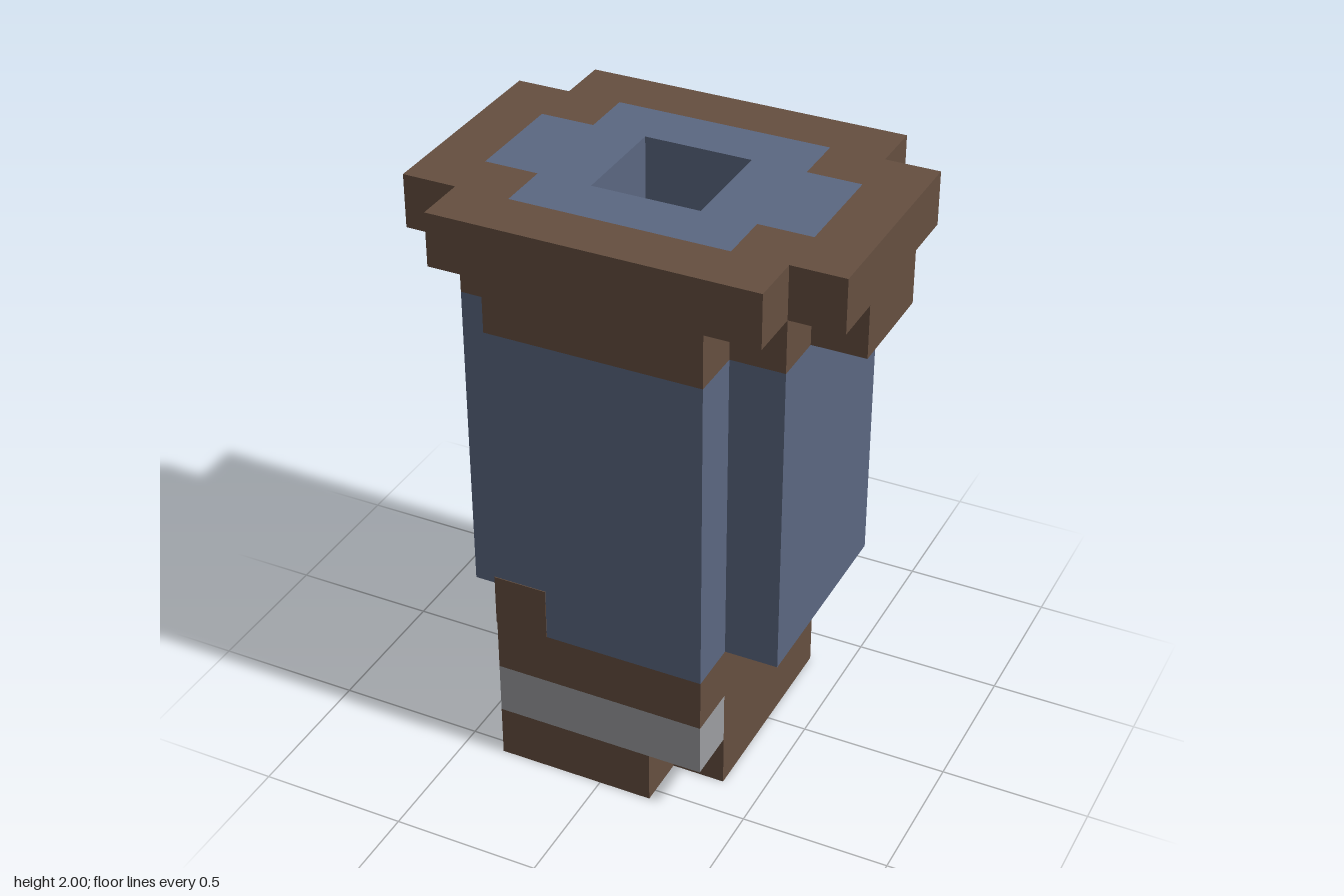
import * as THREE from 'three';

const U = 2 / 11; // one block of the grid

export function createModel() {
  const model = new THREE.Group();
  model.name = 'blockSleeve';
  const mat = (name, color) => {
    const m = new THREE.MeshStandardMaterial({ color });
    m.name = name;
    return m;
  };
  const brown = mat('brown', 0x654f40);
  const blue = mat('blue', 0x5b6781);
  const grey = mat('grey', 0x9c9da0);

  const add = (name, geometry, material) => {
    const mesh = new THREE.Mesh(geometry, material);
    mesh.name = name;
    model.add(mesh);
  };
  // Box given by its limits in blocks
  const box = (name, material, [x0, x1], [y0, y1], [z0, z1]) => {
    const g = new THREE.BoxGeometry((x1 - x0) * U, (y1 - y0) * U, (z1 - z0) * U);
    g.translate((x0 + x1) / 2 * U, (y0 + y1) / 2 * U, (z0 + z1) / 2 * U);
    add(name, g, material);
  };
  // Cross outline: a rectangle a x b joined with a rectangle c x d (half sizes, a > c, d > b)
  const cross = (a, b, c, d) => [
    [a, -b], [a, b], [c, b], [c, d], [-c, d], [-c, b],
    [-a, b], [-a, -b], [-c, -b], [-c, -d], [c, -d], [c, -b],
  ].map(([x, z]) => new THREE.Vector2(x * U, z * U));
  const square = (r) => [[-r, -r], [r, -r], [r, r], [-r, r]]
    .map(([x, z]) => new THREE.Vector2(x * U, z * U));
  // Upright prism with a hole through it
  const prism = (name, material, outline, hole, y0, y1) => {
    const shape = new THREE.Shape(outline);
    shape.holes.push(new THREE.Path(hole));
    const g = new THREE.ExtrudeGeometry(shape, { depth: (y1 - y0) * U, bevelEnabled: false });
    g.rotateX(-Math.PI / 2).translate(0, y0 * U, 0);
    add(name, g, material);
  };

  // Hollow blue body and its upper lining
  const inlay = cross(3, 1, 2, 2);
  prism('body', blue, cross(3, 2, 2, 3), square(1), 3, 9);
  prism('neckLining', blue, square(2), square(1), 9, 10);
  prism('topInlay', blue, inlay, square(1), 10, 11);

  // Brown rim, collar and side tabs
  prism('rim', brown, cross(4, 2, 3, 3), inlay, 10, 11);
  for (const s of [-1, 1]) {
    const span = (a, b) => (s > 0 ? [a, b] : [-b, -a]);
    box('collarSide', brown, span(2, 3), [9, 10], [-2, 2]);
    box('collarEnd', brown, [-2, 2], [9, 10], span(2, 3));
    box('sideTab', brown, span(3, 4), [9, 10], [-1, 1]);
  }

  // Base, with a notch at the front left corner
  box('base', brown, [-2, 2], [0, 3], [-2, 2]);
  box('frontToe', brown, [-2, 1], [0, 1], [2, 3]);
  box('frontBand', grey, [-2, 2], [1, 2], [2, 3]);
  box('frontUpper', brown, [-2, 2], [2, 3], [2, 3]);

  // Brown patch wrapping the lower corner of the body
  const t = 0.015;
  box('patchFront', brown, [-2, -1], [3, 4], [3, 3 + t]);
  box('patchSide', brown, [-2 - t, -2], [3, 4], [2, 3]);

  return model;
}
